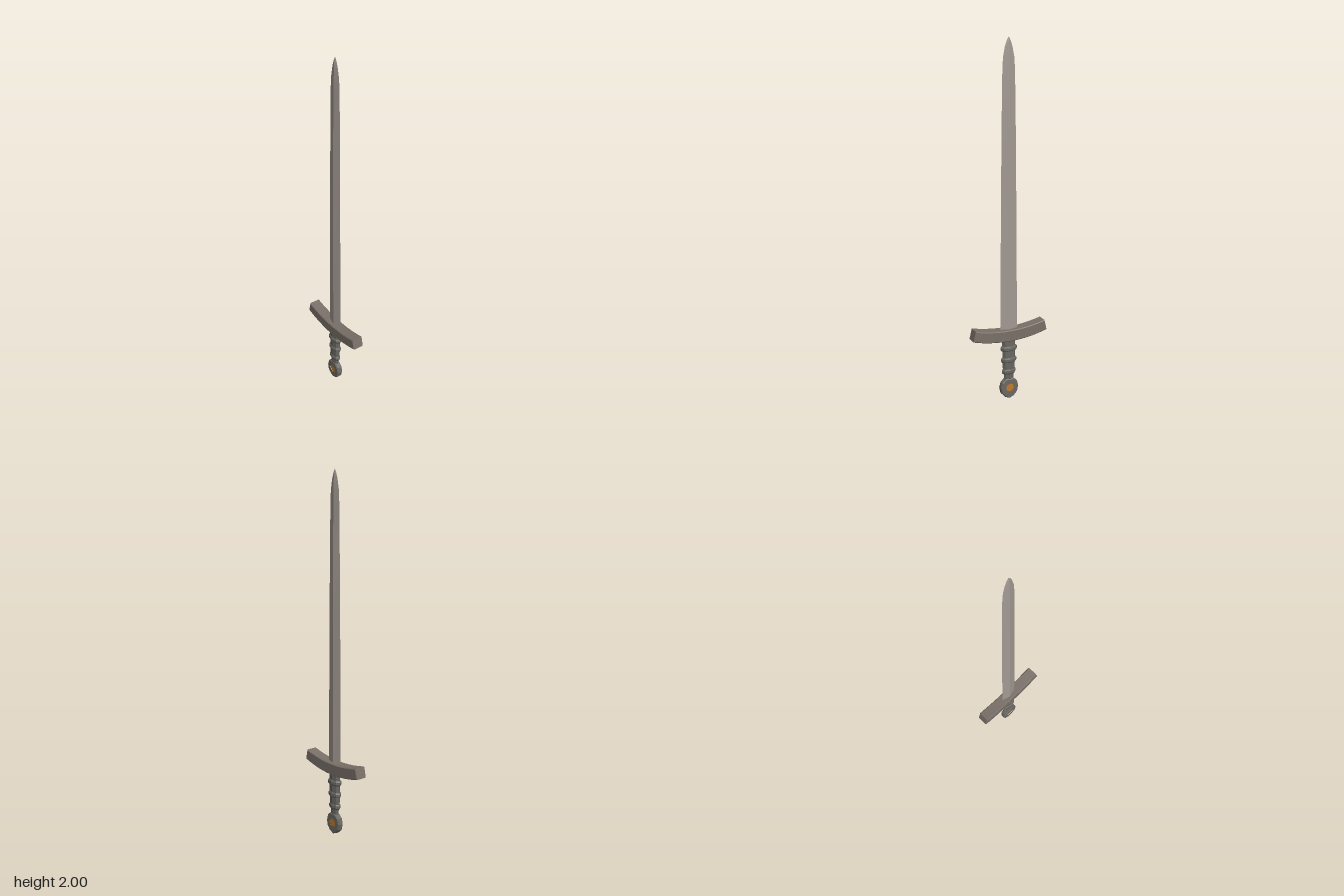
import * as THREE from 'three';
import { toCreasedNormals } from 'three/addons/utils/BufferGeometryUtils.js';

const paint = (name, color) => Object.assign(new THREE.MeshStandardMaterial({ color }), { name });

function part(name, geometry, material, crease = 0.3) {
  const mesh = new THREE.Mesh(toCreasedNormals(geometry, crease), material);
  mesh.name = name;
  return mesh;
}

// Extrusion centred on z = 0, with a bevel kept inside the outline
function slab(shape, thickness, bevel, curveSegments = 10) {
  const depth = thickness - 2 * bevel;
  return new THREE.ExtrudeGeometry(shape, {
    depth, curveSegments, bevelThickness: bevel, bevelSize: bevel, bevelOffset: -bevel, bevelSegments: 1,
  }).translate(0, 0, -depth / 2);
}

// Loft of diamond cross-sections: [height, half width, half thickness]
function diamondLoft(sections) {
  const positions = [], indices = [];
  for (const [y, w, t] of sections) positions.push(w, y, 0, 0, y, t, -w, y, 0, 0, y, -t);
  for (let i = 0; i < sections.length - 1; i++) {
    for (let j = 0; j < 4; j++) {
      const a = i * 4 + j, b = i * 4 + (j + 1) % 4;
      indices.push(a, a + 4, b, b, a + 4, b + 4);
    }
  }
  const geometry = new THREE.BufferGeometry();
  geometry.setAttribute('position', new THREE.Float32BufferAttribute(positions, 3));
  geometry.setIndex(indices);
  return geometry;
}

export function createModel() {
  const bladeSteel = paint('blade steel', 0xa39a93);
  const guardMetal = paint('guard metal', 0x797068);
  const gripMetal = paint('grip metal', 0x6b6863);
  const amber = paint('amber', 0xbe7a2e);
  const sword = new THREE.Group();
  sword.name = 'sword';

  // Blade with a central ridge and a curved point
  sword.add(part('blade', diamondLoft([
    [0.38, 0.052, 0.013], [1.0, 0.047, 0.013], [1.48, 0.042, 0.012], [1.68, 0.039, 0.011],
    [1.84, 0.036, 0.009], [1.9, 0.032, 0.008], [1.95, 0.022, 0.007], [1.98, 0.012, 0.005], [2.0, 0.0005, 0.0005],
  ]), bladeSteel, 0.1));

  // Crossguard, bowed towards the point
  const bow = new THREE.Shape();
  bow.moveTo(-0.226, 0.388);
  bow.quadraticCurveTo(0, 0.322, 0.226, 0.388);
  bow.lineTo(0.212, 0.447);
  bow.quadraticCurveTo(0, 0.393, -0.212, 0.447);
  bow.closePath();
  sword.add(part('crossguard', slab(bow, 0.066, 0.004), guardMetal));

  // Flattened, tapered grip with three raised rings
  const grip = new THREE.Group();
  grip.name = 'grip';
  grip.scale.z = 0.54;
  const core = [[0.028, 0.1], [0.03, 0.14], [0.038, 0.19], [0.039, 0.3], [0.042, 0.375]];
  grip.add(part('gripCore', new THREE.LatheGeometry(core.map(p => new THREE.Vector2(...p)), 8), gripMetal));
  [[0.165, 0.043], [0.235, 0.048], [0.305, 0.051]].forEach(([y, r]) => {
    const profile = [[0.03, -0.017], [r - 0.006, -0.014], [r, -0.007], [r, 0.007], [r - 0.006, 0.014], [0.03, 0.017]];
    const ring = new THREE.LatheGeometry(profile.map(([x, h]) => new THREE.Vector2(x, y + h)), 8);
    grip.add(part('gripRing', ring, gripMetal));
  });
  sword.add(grip);

  // Flat pommel with a blunt lower point and a round opening
  const half = [[0.022, 0.121], [0.046, 0.1], [0.055, 0.068], [0.048, 0.034], [0.026, 0.01]];
  const outline = [...half, [0, 0], ...half.map(([x, y]) => [-x, y]).reverse()];
  const pommel = new THREE.Shape(outline.map(p => new THREE.Vector2(...p)));
  pommel.holes.push(new THREE.Path().absarc(0, 0.066, 0.031, 0, Math.PI * 2, true));
  sword.add(part('pommel', slab(pommel, 0.035, 0.006, 4), gripMetal));

  // Faceted inlay visible on both faces
  const facets = [[0, -0.015], [0.024, -0.015], [0.032, -0.011], [0.032, 0.011], [0.024, 0.015], [0, 0.015]];
  const inlay = new THREE.LatheGeometry(facets.map(p => new THREE.Vector2(...p)), 12);
  inlay.rotateX(Math.PI / 2).translate(0, 0.066, 0);
  sword.add(part('pommelInlay', inlay, amber));

  return sword;
}
